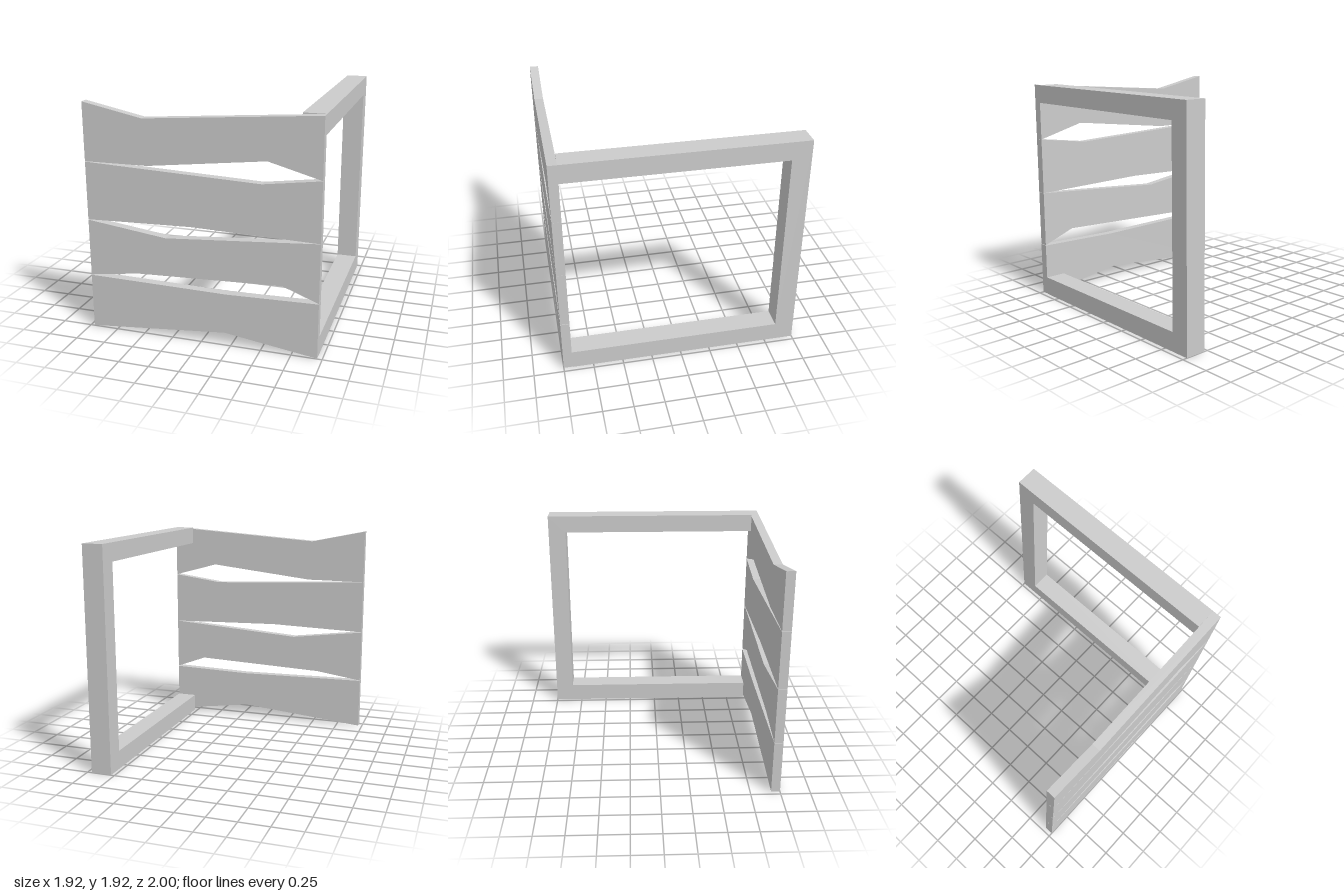
import * as THREE from 'three';

const material = new THREE.MeshStandardMaterial({ color: 0xcccccc, flatShading: true });

// Extrudes a closed outline without bevels
function extrude(points, depth) {
  const shape = new THREE.Shape(points.map(([x, y]) => new THREE.Vector2(x, y)));
  return new THREE.ExtrudeGeometry(shape, { depth, bevelEnabled: false });
}

function addMesh(group, name, geometry) {
  const mesh = new THREE.Mesh(geometry, material);
  mesh.name = name;
  group.add(mesh);
}

export function createModel() {
  const group = new THREE.Group();
  const left = 0.96, right = -0.965, height = 1.925;
  const boardBack = 0.925, front = 1;

  // Rough-cut boards across the front: lower edge, then upper edge
  const boards = [
    [[right, 0.003], [0.2, 0.11], [left, 0.003], [left, 0.465], [0.22, 0.446], [right, 0.465]],
    [[right, 0.469], [-0.54, 0.53], [0.67, 0.578], [left, 0.469], [left, 0.955], [-0.29, 0.864], [right, 0.951]],
    [[right, 0.955], [-0.08, 0.981], [left, 0.956], [left, 1.443], [0.5, 1.38], [-0.92, 1.438], [right, 1.44]],
    [[right, 1.444], [-0.43, 1.447], [0.54, 1.56], [left, 1.444], [left, height], [-0.46, 1.82], [right, height]],
  ];
  boards.forEach((outline, i) => {
    const geometry = extrude(outline, front - boardBack);
    geometry.translate(0, 0, boardBack);
    addMesh(group, `board${i + 1}`, geometry);
  });

  // Side frame: rear post with a top and a bottom rail reaching the boards
  const rail = 0.16, railWidth = 0.18, postFront = -0.84;
  const frame = extrude([
    [-1, 0], [boardBack, 0], [boardBack, rail], [postFront, rail],
    [postFront, height - rail + 0.005], [boardBack, height - rail + 0.005], [boardBack, height], [-1, height],
  ], railWidth);
  frame.rotateY(-Math.PI / 2);
  frame.translate(left, 0, 0);
  addMesh(group, 'sideFrame', frame);

  return group;
}
